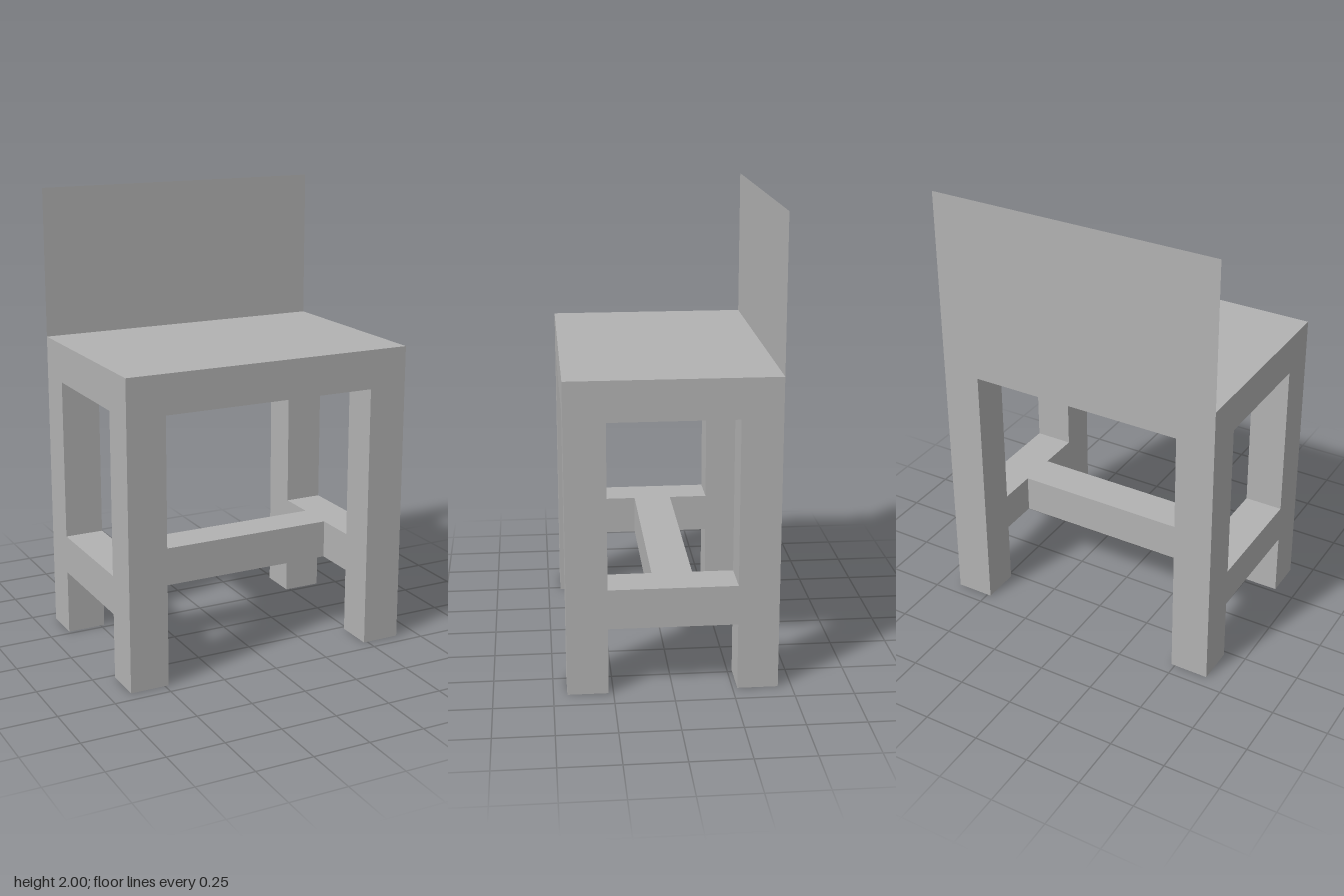
import * as THREE from 'three';

export function createModel() {
  const chair = new THREE.Group();
  chair.name = 'chair';

  const grey = new THREE.MeshStandardMaterial({ color: 0xb2b2b2, side: THREE.DoubleSide });
  grey.name = 'grey';

  const W = 1.31, D = 0.885, T = 0.172;   // overall width, depth, timber thickness
  const seatTop = 1.345, seatBottom = seatTop - T, top = 2;
  const railY = 0.375;                    // height of the stretchers' centre line
  const legX = (W - T) / 2, legZ = (D - T) / 2;

  function add(name, geometry, x, y, z) {
    const mesh = new THREE.Mesh(geometry, grey);
    mesh.name = name;
    mesh.position.set(x, y, z);
    chair.add(mesh);
  }
  const box = (w, h, d) => new THREE.BoxGeometry(w, h, d);

  // Seat slab
  add('seat', box(W, T, D), 0, seatTop - T / 2, 0);

  // Legs and side stretchers, mirrored
  for (const [side, s] of [['left', 1], ['right', -1]]) {
    add(side + 'FrontLeg', box(T, seatBottom, T), s * legX, seatBottom / 2, legZ);
    add(side + 'BackLeg', box(T, seatBottom, T), s * legX, seatBottom / 2, -legZ);
    add(side + 'Stretcher', box(T, T, D - 2 * T), s * legX, railY, 0);
  }

  // Cross stretcher joining the side stretchers
  add('crossStretcher', box(W - 2 * T, T, T), 0, railY, -0.01);

  // Backrest: a single thin sheet flush with the back of the seat
  add('backrest', new THREE.PlaneGeometry(W, top - seatTop), 0, (top + seatTop) / 2, -D / 2);

  return chair;
}
